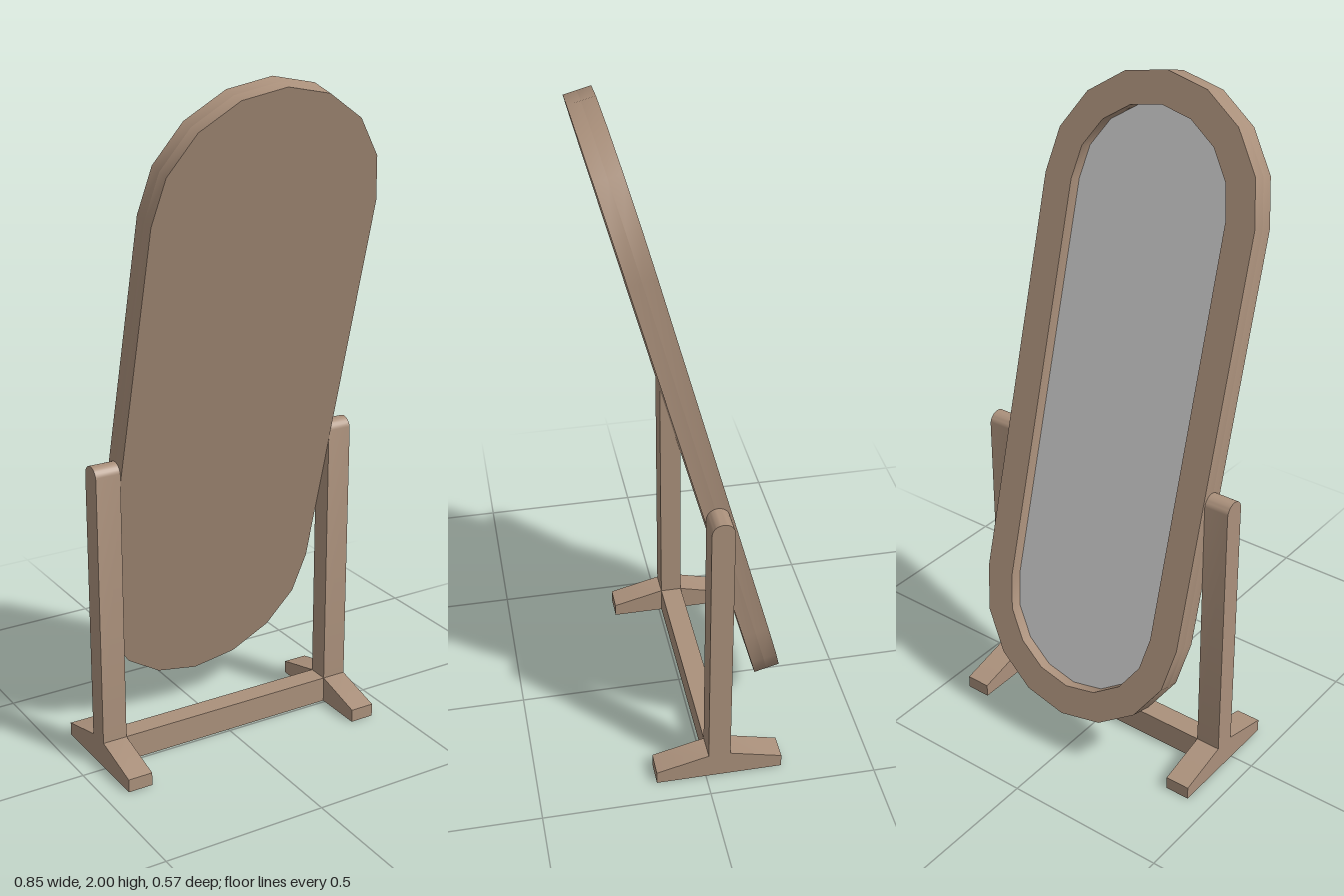
import * as THREE from 'three';
import { toCreasedNormals } from 'three/addons/utils/BufferGeometryUtils.js';

const WIDTH = 0.076;    // thickness of the stand sides along x
const INNER = 0.351;    // half width of the panel, inner face of the posts
const STAND_Z = -0.041;
const POST_R = 0.033;

export function createModel() {
  const wood = new THREE.MeshStandardMaterial({ color: 0xaa907b });
  wood.name = 'wood';
  const glass = new THREE.MeshStandardMaterial({ color: 0xcacaca });
  glass.name = 'mirrorGlass';

  const model = new THREE.Group();
  model.name = 'standingMirror';

  const add = (parent, name, geometry, material) => {
    const mesh = new THREE.Mesh(geometry, material);
    mesh.name = name;
    parent.add(mesh);
    return mesh;
  };

  const extrude = (shape, depth, z) => {
    const geo = new THREE.ExtrudeGeometry(shape, { depth, bevelEnabled: false, curveSegments: 8 });
    geo.translate(0, 0, z);
    return toCreasedNormals(geo, 0.6);
  };

  // Capsule outline with eight segments per round end
  const capsule = (r) => {
    const points = [];
    for (let end = 0; end < 2; end++) {
      for (let i = 0; i <= 8; i++) {
        const a = end * Math.PI + (i * Math.PI) / 8;
        points.push(new THREE.Vector2(Math.cos(a) * r, Math.sin(a) * r + (end ? -0.6095 : 0.6095)));
      }
    }
    return points;
  };

  // Tilted panel: solid board, raised rim and glass set into the recess
  const panel = new THREE.Group();
  panel.name = 'mirrorPanel';
  panel.position.set(0, 1.062, 0);
  panel.rotation.x = THREE.MathUtils.degToRad(15);
  model.add(panel);

  add(panel, 'backBoard', extrude(new THREE.Shape(capsule(INNER)), 0.0375, 0.00125), wood);
  const rim = new THREE.Shape(capsule(INNER));
  rim.holes.push(new THREE.Path(capsule(0.259)));
  add(panel, 'rim', extrude(rim, 0.04, -0.03875), wood);
  add(panel, 'mirrorGlass', extrude(new THREE.Shape(capsule(0.259)), 0.003, -0.00075), glass);

  // Side profiles, drawn in z and y
  const post = new THREE.Shape();
  post.moveTo(-POST_R, 0.08);
  post.lineTo(POST_R, 0.08);
  post.lineTo(POST_R, 0.935 - POST_R);
  post.absarc(0, 0.935 - POST_R, POST_R, 0, Math.PI, false);
  post.lineTo(-POST_R, 0.08);

  const foot = new THREE.Shape([
    [-0.19, 0], [0.19, 0], [0.19, 0.04], [POST_R, 0.08], [-POST_R, 0.08], [-0.19, 0.04],
  ].map(([z, y]) => new THREE.Vector2(z, y)));

  // Posts and feet on both sides
  for (const side of [-1, 1]) {
    const name = side > 0 ? 'left' : 'right';
    for (const [part, shape] of [['Post', post], ['Foot', foot]]) {
      const geo = extrude(shape, WIDTH, -WIDTH / 2);
      geo.rotateY(-Math.PI / 2);
      add(model, name + part, geo, wood).position.set(side * (INNER + WIDTH / 2), 0, STAND_Z);
    }
  }

  // Rail joining the feet
  add(model, 'bottomRail', new THREE.BoxGeometry(INNER * 2, 0.08, POST_R * 2), wood)
    .position.set(0, 0.04, STAND_Z);

  return model;
}
